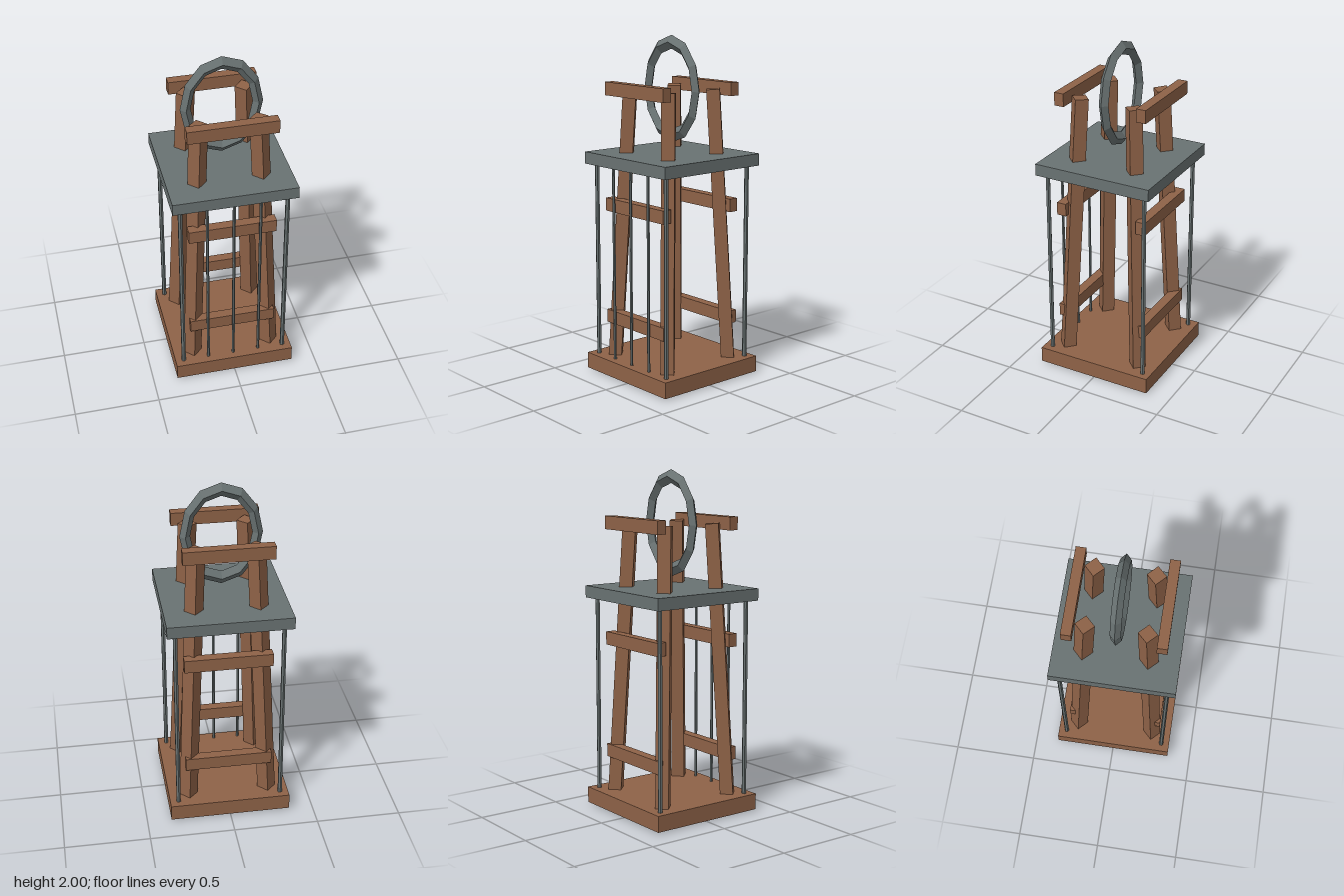
import * as THREE from 'three';

const wood = new THREE.MeshStandardMaterial({ color: 0x8e6247, flatShading: true });
wood.name = 'wood';
const iron = new THREE.MeshStandardMaterial({ color: 0x697272, flatShading: true });
iron.name = 'iron';

export function createModel() {
  const model = new THREE.Group();
  model.name = 'hangingCage';

  const add = (name, geometry, material, x, y, z) => {
    const mesh = new THREE.Mesh(geometry, material);
    mesh.name = name;
    mesh.position.set(x, y, z);
    model.add(mesh);
    return mesh;
  };

  // Floor and roof slabs
  add('floor', new THREE.BoxGeometry(0.714, 0.095, 0.714), wood, 0, 0.0575, 0);
  add('roof', new THREE.BoxGeometry(0.714, 0.07, 0.714), iron, 0, 1.29, 0);

  // Four square posts leaning inward, set on the diagonal
  const up = new THREE.Vector3(0, 1, 0);
  for (const sx of [-1, 1]) {
    for (const sz of [-1, 1]) {
      const foot = new THREE.Vector3(0.241 * sx, 0.003, 0.241 * sz);
      const head = new THREE.Vector3(0.168 * sx, 1.695, 0.168 * sz);
      const axis = head.clone().sub(foot);
      const mid = foot.clone().add(head).multiplyScalar(0.5);
      const post = add('post', new THREE.CylinderGeometry(0.054, 0.054, axis.length(), 4), wood, mid.x, mid.y, mid.z);
      post.quaternion.setFromUnitVectors(up, axis.normalize());

      // Corner rods
      add('cornerRod', new THREE.CylinderGeometry(0.0135, 0.0135, 1.17, 6), iron, 0.307 * sx, 0.68, 0.307 * sz);
    }
  }

  // Cross rails on the front and back
  for (const z of [-0.255, 0.255]) {
    for (const y of [0.345, 1.02, 1.695]) {
      add('crossRail', new THREE.BoxGeometry(0.51, 0.077, 0.058), wood, 0, y, z);
    }
  }

  // Thin bars on the front only
  for (const x of [-0.154, 0, 0.154]) {
    add('frontBar', new THREE.CylinderGeometry(0.009, 0.009, 1.17, 6), iron, x, 0.68, 0.307);
  }

  // Tall hanging ring
  const ring = add('hangingRing', new THREE.TorusGeometry(0.205, 0.03, 4, 12), iron, 0, 1.693, 0);
  ring.scale.y = 1.307;

  return model;
}
